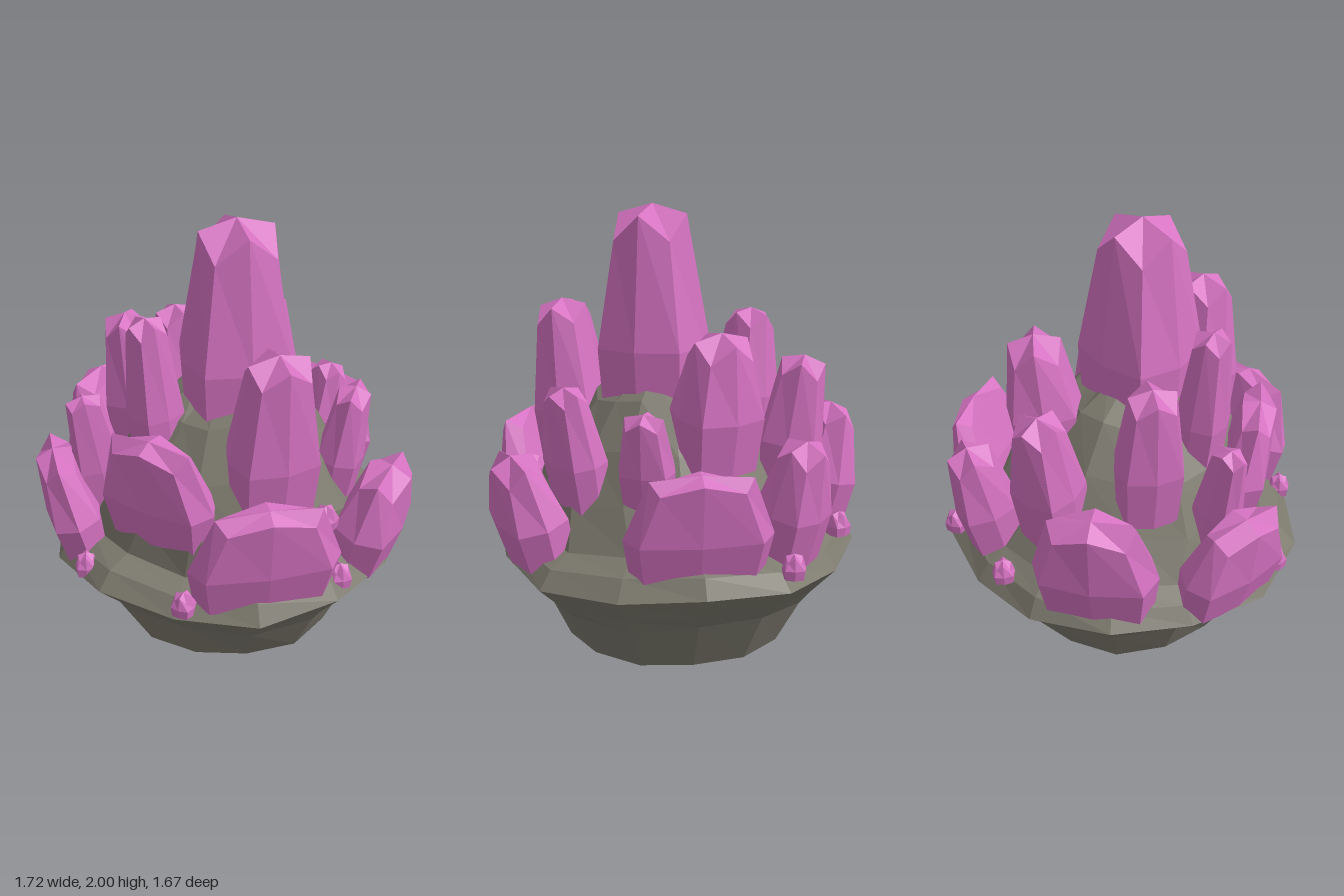
import * as THREE from 'three';

const crystalMat = new THREE.MeshStandardMaterial({ color: 0xd673c2, flatShading: true });
crystalMat.name = 'pink crystal';
const rockMat = new THREE.MeshStandardMaterial({ color: 0x7d7a6e, flatShading: true });
rockMat.name = 'grey rock';

const UP = new THREE.Vector3(0, 1, 0);
const LEAN = 0.17;
const TAPER = 0.68;

// Turns a profile and moves each vertex by rule(point, level, segment)
function shapedLathe(name, profile, sides, material, rule) {
  const geo = new THREE.LatheGeometry(profile.map(p => new THREE.Vector2(...p)), sides);
  const pos = geo.attributes.position;
  const p = new THREE.Vector3();
  for (let i = 0; i < pos.count; i++) {
    p.fromBufferAttribute(pos, i);
    rule(p, i % profile.length, Math.floor(i / profile.length) % sides);
    pos.setXYZ(i, p.x, p.y, p.z);
  }
  const flat = geo.toNonIndexed();
  flat.computeVertexNormals();
  const mesh = new THREE.Mesh(flat, material);
  mesh.name = name;
  return mesh;
}

// Eight-sided tapering column with a four-faceted cap, from base to top
function crystal(name, base, top, w, d, yaw) {
  const axis = top.clone().sub(base);
  const len = axis.length();
  const cap = Math.min(Math.min(w, d) * 0.62, len * 0.35);
  const profile = [[0, 0], [0.9, 0], [1, len * 0.4], [TAPER, len - cap], [0, len]];
  const mesh = shapedLathe(name, profile, 8, crystalMat, (p, level, segment) => {
    // corners stick out further, and sit lower at the shoulder
    const corner = segment % 2 === 1;
    const s = corner ? 1.1 : 0.96;
    p.x *= s * w;
    p.z *= s * d;
    if (level === 3 && !corner) p.y += cap * 0.72;
  });
  mesh.position.copy(base);
  mesh.quaternion.setFromUnitVectors(UP, axis.normalize())
    .multiply(new THREE.Quaternion().setFromAxisAngle(UP, yaw));
  return mesh;
}

// A crystal rooted in the mound at x, z: broad side facing out, leaning outward
function rooted(name, x, z, topY, w, d) {
  const baseY = Math.min(0.95, 1.3 - 1.2 * Math.hypot(x, z));
  const base = new THREE.Vector3(x, baseY, z);
  const top = new THREE.Vector3(x * (1 + LEAN), topY, z * (1 + LEAN));
  return crystal(name, base, top, w, d, Math.atan2(x, z));
}

// Faceted bowl with a mound rising out of its rim
function rock() {
  const profile = [[0, 0], [0.28, 0.004], [0.53, 0.035], [0.65, 0.26], [0.71, 0.33], [0.83, 0.455],
    [0.77, 0.535], [0.67, 0.58], [0.58, 0.75], [0.46, 0.96], [0.31, 1.15], [0.16, 1.23], [0, 1.25]];
  return shapedLathe('rock', profile, 14, rockMat, (p, level, segment) => {
    const s = 1 + 0.022 * Math.sin(segment * 2.3 + level * 0.5);
    const shift = level > 7 ? 0.05 : 0;
    p.x = p.x * s + shift;
    p.z = p.z * s + shift;
    if (level > 2 && level < 12) p.y += 0.02 * Math.sin(segment * 1.7 + level * 0.4);
  });
}

export function createModel() {
  const group = new THREE.Group();
  group.name = 'crystalRock';
  group.add(rock());

  // tall columns around the peak: x, z, top, half width, half depth
  const columns = {
    mainCrystal: [0.08, 0.045, 2, 0.26, 0.25],
    leftTallCrystal: [0.42, 0.2, 1.56, 0.21, 0.17],
    frontTallCrystal: [-0.08, 0.36, 1.61, 0.12, 0.12],
    rightTallCrystal: [-0.35, 0.21, 1.49, 0.16, 0.145],
    backTallCrystal: [-0.12, -0.32, 1.49, 0.2, 0.18],
    rightMidCrystal: [-0.47, -0.18, 1.35, 0.155, 0.15],
    backRightCrystal: [-0.4, -0.5, 1.06, 0.16, 0.15],
    backMidCrystal: [0.18, -0.42, 1.18, 0.13, 0.1],
    leftMidCrystal: [0.45, -0.22, 1.25, 0.175, 0.11],
    frontSmallCrystal: [-0.3, 0.49, 1.21, 0.08, 0.12],
  };
  // broad slabs around the rim
  const slabs = {
    leftSlab: [0.65, -0.2, 0.95, 0.27, 0.15],
    frontLeftSlab: [0.55, 0.39, 0.99, 0.35, 0.11],
    frontSlab: [0.09, 0.52, 1.17, 0.3, 0.12],
    frontRightSlab: [-0.39, 0.58, 0.95, 0.28, 0.13],
    rightSlab: [-0.66, 0.08, 1.05, 0.29, 0.14],
    backSlab: [0.01, -0.65, 0.99, 0.33, 0.1],
  };
  for (const [name, spec] of Object.entries({ ...columns, ...slabs })) group.add(rooted(name, ...spec));

  // tiny crystals scattered on the rim
  const chips = [[0.66, 0.8, 0.1], [0.75, 0.54, 0.1], [-0.69, 0.6, -0.35],
    [-0.39, 0.56, -0.71], [-0.16, 0.515, 0.77], [0.37, 0.52, 0.69]];
  const r = 0.053;
  chips.forEach(([x, y, z], i) => {
    const base = new THREE.Vector3(x, y - r, z);
    const top = new THREE.Vector3(x, y + r, z);
    group.add(crystal('chip' + (i + 1), base, top, r, r, i));
  });

  return group;
}
